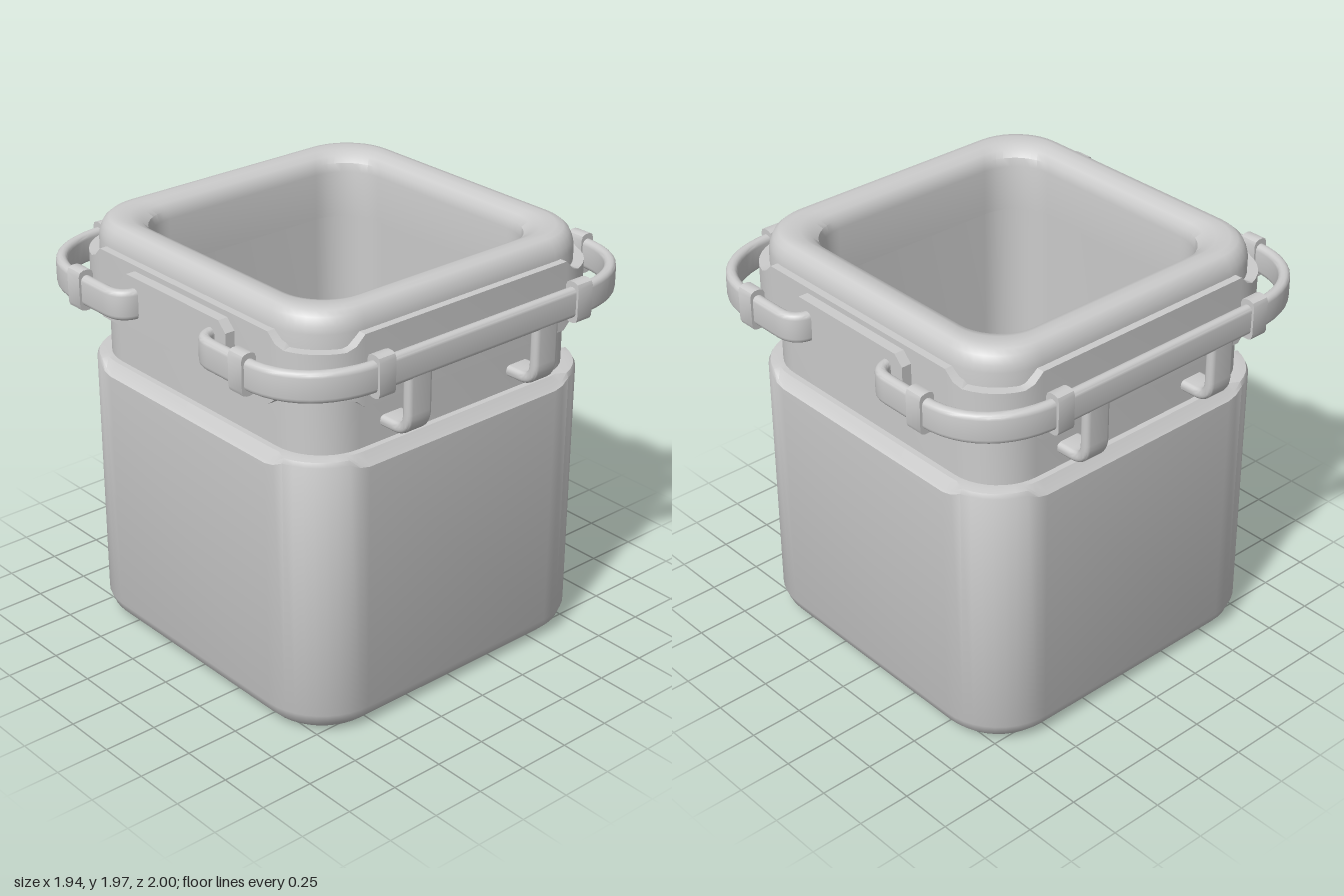
import * as THREE from 'three';
import { toCreasedNormals } from 'three/addons/utils/BufferGeometryUtils.js';

const material = new THREE.MeshStandardMaterial({ color: 0xcccccc });

function add(parent, name, geometry) {
  const mesh = new THREE.Mesh(geometry, material);
  mesh.name = name;
  parent.add(mesh);
  return mesh;
}

// Rounded rectangle as a closed list of 2D points
function roundRect(hw, hh, r, seg) {
  const pts = [];
  for (let c = 0; c < 4; c++) {
    const sx = c === 0 || c === 3 ? 1 : -1, sy = c < 2 ? 1 : -1;
    for (let k = 0; k <= seg; k++) {
      const a = (c + k / seg) * Math.PI / 2;
      pts.push([sx * (hw - r) + r * Math.cos(a), sy * (hh - r) + r * Math.sin(a)]);
    }
  }
  return pts;
}

// Skin between closed rings of equal point count
function loft(rings, crease = 0.6) {
  const pos = [], n = rings[0].length;
  const tri = (a, b, c) => {
    const area = b.clone().sub(a).cross(c.clone().sub(a)).length();
    if (area > 1e-9) for (const p of [a, b, c]) pos.push(p.x, p.y, p.z);
  };
  for (let i = 0; i < rings.length - 1; i++) {
    for (let j = 0; j < n; j++) {
      const k = (j + 1) % n;
      const a = rings[i][j], b = rings[i][k], c = rings[i + 1][k], d = rings[i + 1][j];
      tri(a, d, c);
      tri(a, c, b);
    }
  }
  const g = new THREE.BufferGeometry();
  g.setAttribute('position', new THREE.Float32BufferAttribute(pos, 3));
  return toCreasedNormals(g, crease);
}

// Horizontal rounded-square ring; mid is the height along the middle of each side
function ring(half, flat, y, mid = y) {
  return roundRect(half, half, half - flat, 10).map(([x, z]) => {
    const m = Math.min(Math.abs(x), Math.abs(z));
    const w = THREE.MathUtils.clamp((0.63 - m) / 0.06, 0, 1);
    return new THREE.Vector3(x, y + (mid - y) * w, z);
  });
}

// Capped sweep of a rounded-rectangle section along a path; side is the section's long axis
function sweep(points, side, thick, wide, r, seg = 4) {
  const section = roundRect(thick / 2, wide / 2, r, seg);
  const rings = points.map((p, i) => {
    const t = new THREE.Vector3();
    if (i > 0) t.add(p.clone().sub(points[i - 1]).normalize());
    if (i < points.length - 1) t.add(points[i + 1].clone().sub(p).normalize());
    const normal = t.normalize().cross(side);
    return section.map(([u, v]) => p.clone().addScaledVector(normal, u).addScaledVector(side, v));
  });
  const cap = (p) => section.map(() => p.clone());
  return loft([cap(points[0]), ...rings, cap(points[points.length - 1])]);
}

const X = new THREE.Vector3(1, 0, 0), Y = new THREE.Vector3(0, 1, 0), Z = new THREE.Vector3(0, 0, 1);
const BAR_Y = 1.727;

// Handle on the +x side: wraps both corners and hooks into the front and back plates
function createHandle() {
  const handle = new THREE.Group();
  handle.name = 'handle';
  const fz = 0.963, sx = 0.932;
  const path = new THREE.Path();
  path.moveTo(0.258, 0.86);
  path.quadraticCurveTo(0.258, fz, 0.36, fz);
  path.lineTo(0.58, fz);
  path.bezierCurveTo(0.8, fz, sx, 0.8, sx, 0.57);
  path.lineTo(sx, -0.57);
  path.bezierCurveTo(sx, -0.8, 0.8, -fz, 0.58, -fz);
  path.lineTo(0.36, -fz);
  path.quadraticCurveTo(0.258, -fz, 0.258, -0.86);
  const points = path.getPoints(12).map((p) => new THREE.Vector3(p.x, BAR_Y, p.y));
  add(handle, 'handleBar', sweep(points, Y, 0.052, 0.138, 0.024));

  // Clamp sleeves around the bar
  for (const s of [1, -1]) {
    const clamp = (name, x, z, dir) => {
      const c = new THREE.Vector3(x, BAR_Y, z);
      const ends = [-0.043, 0.043].map((d) => c.clone().addScaledVector(dir, d));
      add(handle, name, sweep(ends, Y, 0.074, 0.186, 0.025, 2));
    };
    clamp('endClamp', 0.555, s * fz, X);
    clamp('sideClamp', sx, s * 0.56, Z);
  }

  // J-shaped straps from the bar to the neck
  const strap = new THREE.Path();
  strap.moveTo(0.928, 1.7);
  strap.lineTo(0.928, 1.5);
  strap.quadraticCurveTo(0.928, 1.415, 0.85, 1.415);
  strap.lineTo(0.76, 1.415);
  const strapPoints = strap.getPoints(8).map((p) => new THREE.Vector3(p.x, p.y, 0));
  for (const s of [1, -1]) {
    add(handle, 'strap', sweep(strapPoints, Z, 0.05, 0.13, 0.02)).position.z = s * 0.362;
  }
  return handle;
}

export function createModel() {
  const model = new THREE.Group();
  model.name = 'squareCanister';

  // Hollow body: base, outer wall, notched lip, neck, inner wall and floor
  add(model, 'body', loft([
    ring(0, 0, 0), ring(0.76, 0.54, 0), ring(0.79, 0.54, 0.015), ring(0.825, 0.54, 0.05),
    ring(0.845, 0.54, 0.1), ring(0.845, 0.54, 1.3, 1.27), ring(0.835, 0.54, 1.32, 1.28),
    ring(0.805, 0.54, 1.325), ring(0.778, 0.54, 1.325), ring(0.778, 0.54, 1.75),
    ring(0.72, 0.5, 1.75), ring(0.72, 0.5, 0.1), ring(0.68, 0.5, 0.06), ring(0, 0, 0.06),
  ]));

  // Collar band, taller along the middle of each side
  add(model, 'collar', loft([
    ring(0.765, 0.57, 1.6, 1.55), ring(0.845, 0.57, 1.6, 1.55),
    ring(0.845, 0.57, 1.81, 1.87), ring(0.765, 0.57, 1.81, 1.87),
  ]));

  // Padded rim around the opening
  add(model, 'rim', loft([
    ring(0.81, 0.54, 1.75), ring(0.81, 0.54, 1.875), ring(0.804, 0.54, 1.905),
    ring(0.79, 0.535, 1.94), ring(0.768, 0.53, 1.96), ring(0.74, 0.52, 1.966),
    ring(0.695, 0.48, 1.962), ring(0.66, 0.45, 1.946), ring(0.638, 0.43, 1.92),
    ring(0.63, 0.425, 1.88), ring(0.63, 0.425, 1.66), ring(0.74, 0.5, 1.66),
  ]));

  // Octagonal plates on front and back
  const w = 0.36, h = 0.12, c = 0.045;
  const plate = new THREE.Shape([
    [w, c - h], [w, h - c], [w - c, h], [c - w, h],
    [-w, h - c], [-w, c - h], [c - w, -h], [w - c, -h],
  ].map(([x, y]) => new THREE.Vector2(x, y)));
  const plateGeometry = new THREE.ExtrudeGeometry(plate, { depth: 0.06, bevelEnabled: false });
  plateGeometry.translate(0, 1.725, 0.832);
  add(model, 'frontPlate', plateGeometry);
  add(model, 'backPlate', plateGeometry).rotation.y = Math.PI;

  // Handles on both sides
  const left = createHandle(), right = createHandle();
  left.name = 'leftHandle';
  right.name = 'rightHandle';
  right.rotation.y = Math.PI;
  model.add(left, right);
  return model;
}
